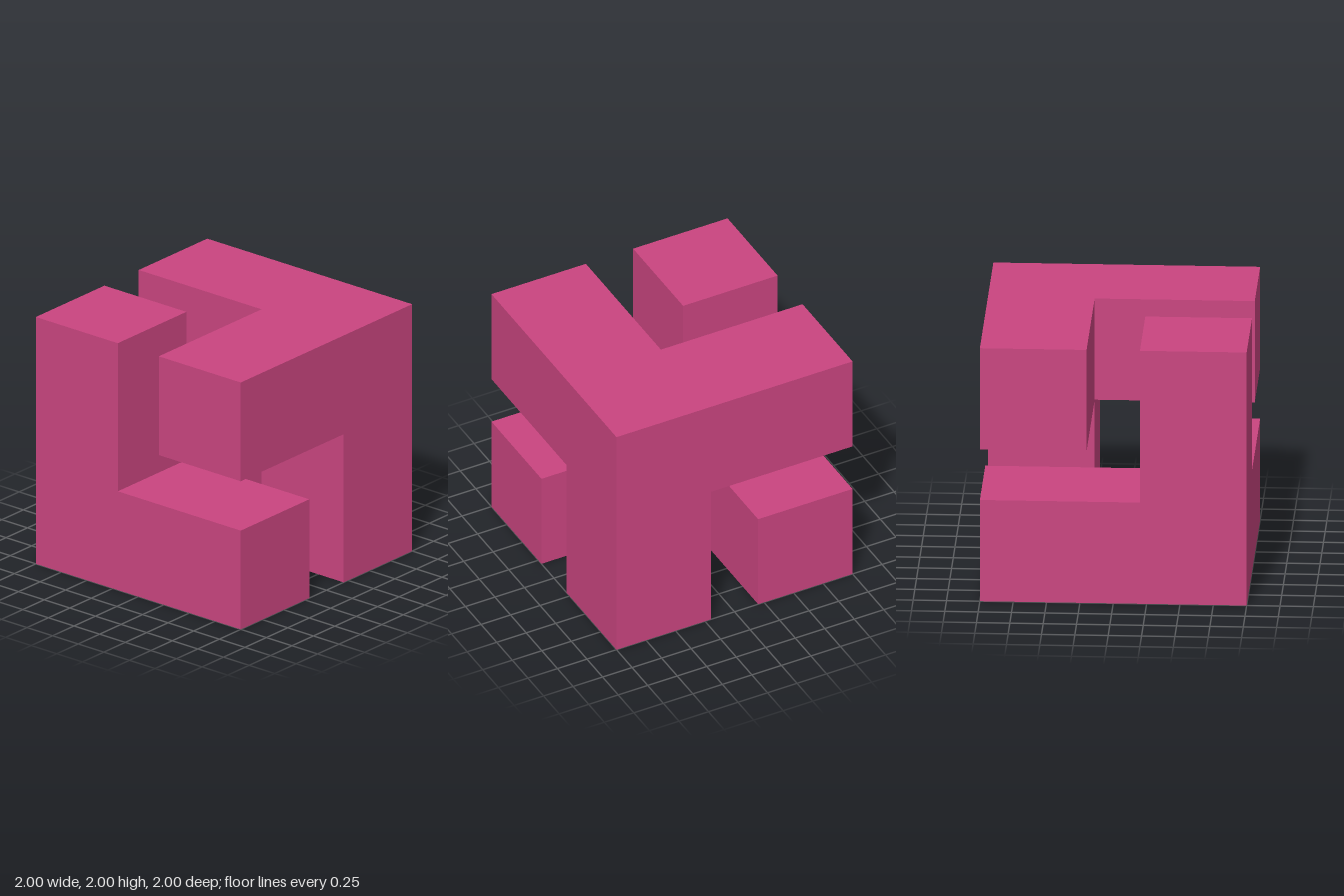
import * as THREE from 'three';

const pink = new THREE.MeshStandardMaterial({ color: 0xca4580 });
pink.name = 'pink';

const T = 0.8; // bar thickness

// Three square bars meeting at the corner (-1, -1, 1) of a cube centred on the origin
function createTripod(name) {
  const tripod = new THREE.Group();
  tripod.name = name;

  // L-shaped pair of bars: one upright, one along x
  const profile = new THREE.Shape([
    [-1, -1], [1, -1], [1, -1 + T], [-1 + T, -1 + T], [-1 + T, 1], [-1, 1],
  ].map(([x, y]) => new THREE.Vector2(x, y)));
  const ell = new THREE.ExtrudeGeometry(profile, { depth: T, bevelEnabled: false });
  ell.translate(0, 0, 1 - T);
  const angle = new THREE.Mesh(ell, pink);
  angle.name = 'angleBars';

  // Third bar, running along z
  const length = 2 - T;
  const bar = new THREE.Mesh(new THREE.BoxGeometry(T, T, length), pink);
  bar.name = 'depthBar';
  bar.position.set(-1 + T / 2, -1 + T / 2, -1 + length / 2);

  tripod.add(angle, bar);
  tripod.position.y = 1;
  return tripod;
}

export function createModel() {
  const model = new THREE.Group();
  model.name = 'interlockedCube';

  const lower = createTripod('lowerTripod');

  // Half turn about a face diagonal moves the corner to the opposite one
  const upper = createTripod('upperTripod');
  upper.quaternion.setFromAxisAngle(new THREE.Vector3(1, -1, 0).normalize(), Math.PI);

  model.add(lower, upper);
  return model;
}
